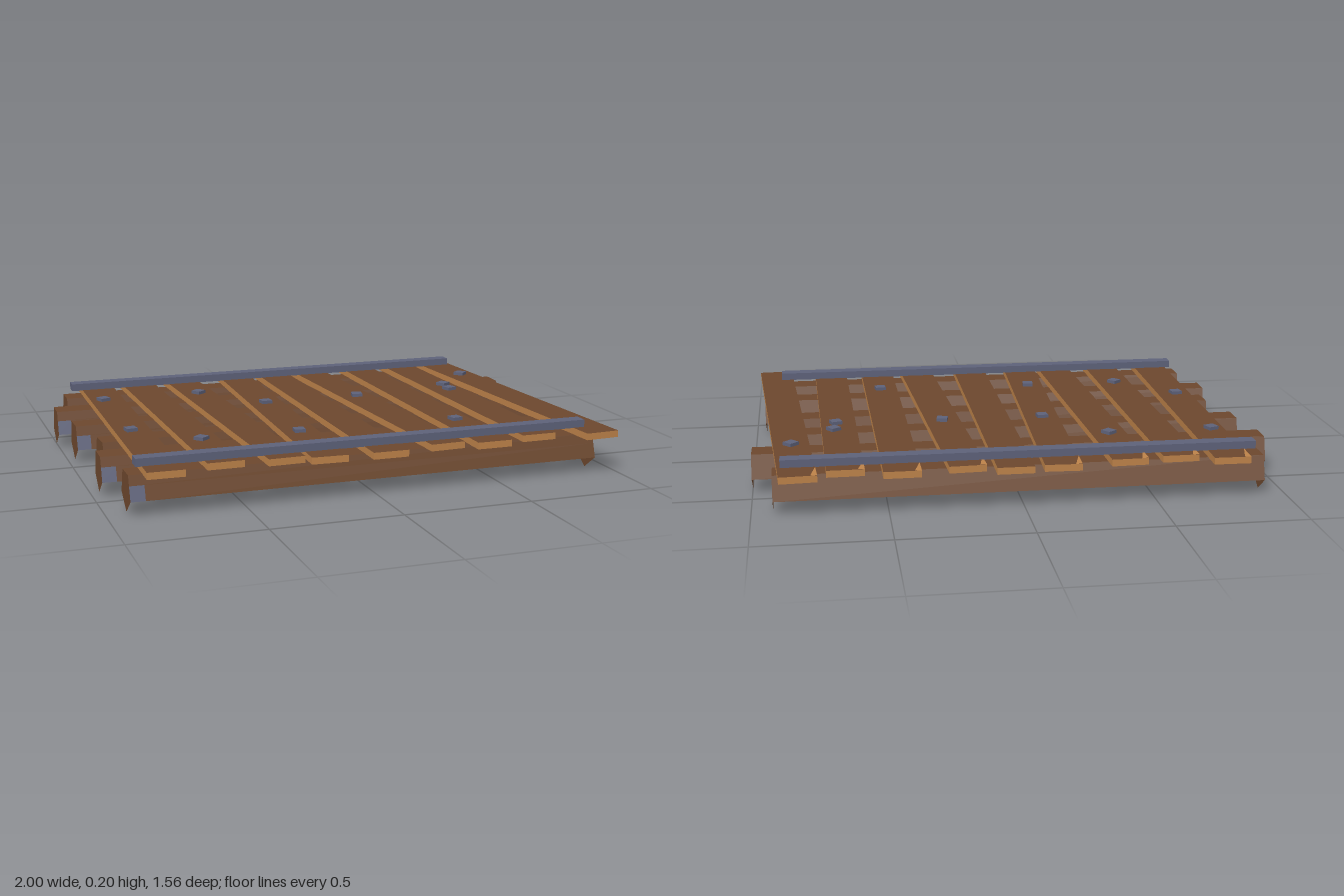
import * as THREE from 'three';

const mat = (name, color) => {
  const m = new THREE.MeshStandardMaterial({ color, side: THREE.DoubleSide });
  m.name = name;
  return m;
};

// Flat-shaded geometry from convex polygons, corners counter-clockwise from outside
function faces(polygons) {
  const pos = [];
  for (const p of polygons)
    for (let i = 1; i < p.length - 1; i++) pos.push(...p[0], ...p[i], ...p[i + 1]);
  const g = new THREE.BufferGeometry();
  g.setAttribute('position', new THREE.Float32BufferAttribute(pos, 3));
  g.computeVertexNormals();
  return g;
}

export function createModel() {
  const wood = mat('brown wood', 0x6c472d);
  const cut = mat('pale cut wood', 0xbd8249);
  const steel = mat('blue grey steel', 0x5d6179);
  const model = new THREE.Group();
  model.name = 'woodenPlatform';

  const add = (parent, name, geometry, material) => {
    const m = new THREE.Mesh(geometry, material);
    m.name = name;
    parent.add(m);
    return m;
  };

  // Five-sided logs, open along the two lower sides
  const T = 0.147, M = 0.056, P = 0.11;      // heights: top, widest, patch
  const wt = 0.048, wm = 0.077;              // half widths: top, widest
  const wp = wm + (wt - wm) * (P - M) / (T - M);
  function log(x0, z0, x1, z1) {
    const g = new THREE.Group();
    g.name = 'log';
    const h = Math.hypot(x1 - x0, z1 - z0) / 2, e = -h + 0.055;
    add(g, 'logBody', faces([
      [[-h, T, wt], [h, T, wt], [h, T, -wt], [-h, T, -wt]],
      [[h, M, -wm], [-h, M, -wm], [-h, T, -wt], [h, T, -wt]],
      [[-h, P, wp], [h, P, wp], [h, T, wt], [-h, T, wt]],
      [[e, M, wm], [h, M, wm], [h, P, wp], [e, P, wp]],
      [[h, 0, 0], [h, M, -wm], [h, T, -wt], [h, T, wt], [h, M, wm]],
      [[-h, 0, 0], [-h, M, wm], [-h, T, wt], [-h, T, -wt], [-h, M, -wm]],
    ]), wood);
    add(g, 'logEndPatch', faces([
      [[-h, M, wm], [e, M, wm], [e, P, wp], [-h, P, wp]],
    ]), steel);
    g.position.set((x0 + x1) / 2, 0, (z0 + z1) / 2);
    g.rotation.y = -Math.atan2(z1 - z0, x1 - x0);
    model.add(g);
  }
  [
    [-0.92, -0.63, 0.92, -0.63],
    [-1, -0.395, 1, -0.36],
    [-0.97, -0.122, 0.92, -0.122],
    [-0.92, 0.165, 0.92, 0.102],
    [-0.965, 0.368, 0.96, 0.408],
    [-0.92, 0.643, 0.92, 0.643],
  ].forEach((l) => log(...l));

  // Planks, open underneath, with pale edges and a worn corner at the back
  const B = 0.146, U = 0.172, w = 0.0695;
  function plank(xb, xf, half, worn) {
    const g = new THREE.Group();
    g.name = 'plank';
    const h = Math.hypot(xf - xb, 2 * half) / 2;
    add(g, 'plankTop', faces([
      [[-w, U, h], [w, U, h], [w, U, -h], [-w, U, -h]],
    ]), wood);
    add(g, 'plankEdges', faces([
      [[-w, B, h], [w, B, h], [w, U, h], [-w, U, h]],
      [[w, B, -h], [-w, B, -h], [-w, U, -h], [w, U, -h]],
      [[w, B, h], [w, B, -h], [w, U, -h], [w, U, h]],
      [[-w, B, -h], [-w, B, h], [-w, U, h], [-w, U, -h]],
    ]), cut);
    if (worn) add(g, 'wornCorner', faces([
      [[-w, U + 0.001, -h], [-w, U + 0.001, -h + 0.1], [-w + 0.025, U + 0.001, -h]],
    ]), cut);
    g.position.x = (xb + xf) / 2;
    g.rotation.y = Math.atan2(xf - xb, 2 * half);
    model.add(g);
  }
  [
    [-0.773, -0.8, 0.768, 1], [-0.59, -0.57, 0.717, 1], [-0.393, -0.348, 0.735, 1],
    [-0.136, -0.195, 0.768, 1], [0.04, 0.04, 0.776, 0], [0.211, 0.286, 0.735, 1],
    [0.452, 0.463, 0.768, 1], [0.655, 0.671, 0.724, 1], [0.826, 0.917, 0.776, 1],
  ].forEach((p) => plank(...p));

  // Steel bars across both ends
  for (const z of [-0.642, 0.652])
    add(model, 'steelBar', new THREE.BoxGeometry(1.78, 0.03, 0.054), steel).position.set(0, 0.186, z);

  // Square nail heads: x, z, turn
  [
    [-0.797, -0.39, 0.35], [-0.383, -0.395, 0.65], [0.85, -0.385, 0.75], [0.683, -0.205, 0.6],
    [0.672, -0.113, 0.3], [-0.163, -0.126, 0.1], [0.245, -0.126, -0.2], [-0.797, 0.16, 0.15],
    [-0.573, 0.38, 0.7], [-0.185, 0.384, -0.1], [0.464, 0.403, 0.15],
  ].forEach(([x, z, turn]) => {
    const nail = add(model, 'nailHead', new THREE.BoxGeometry(0.043, 0.014, 0.043), steel);
    nail.position.set(x, 0.178, z);
    nail.rotation.y = turn;
  });

  return model;
}
